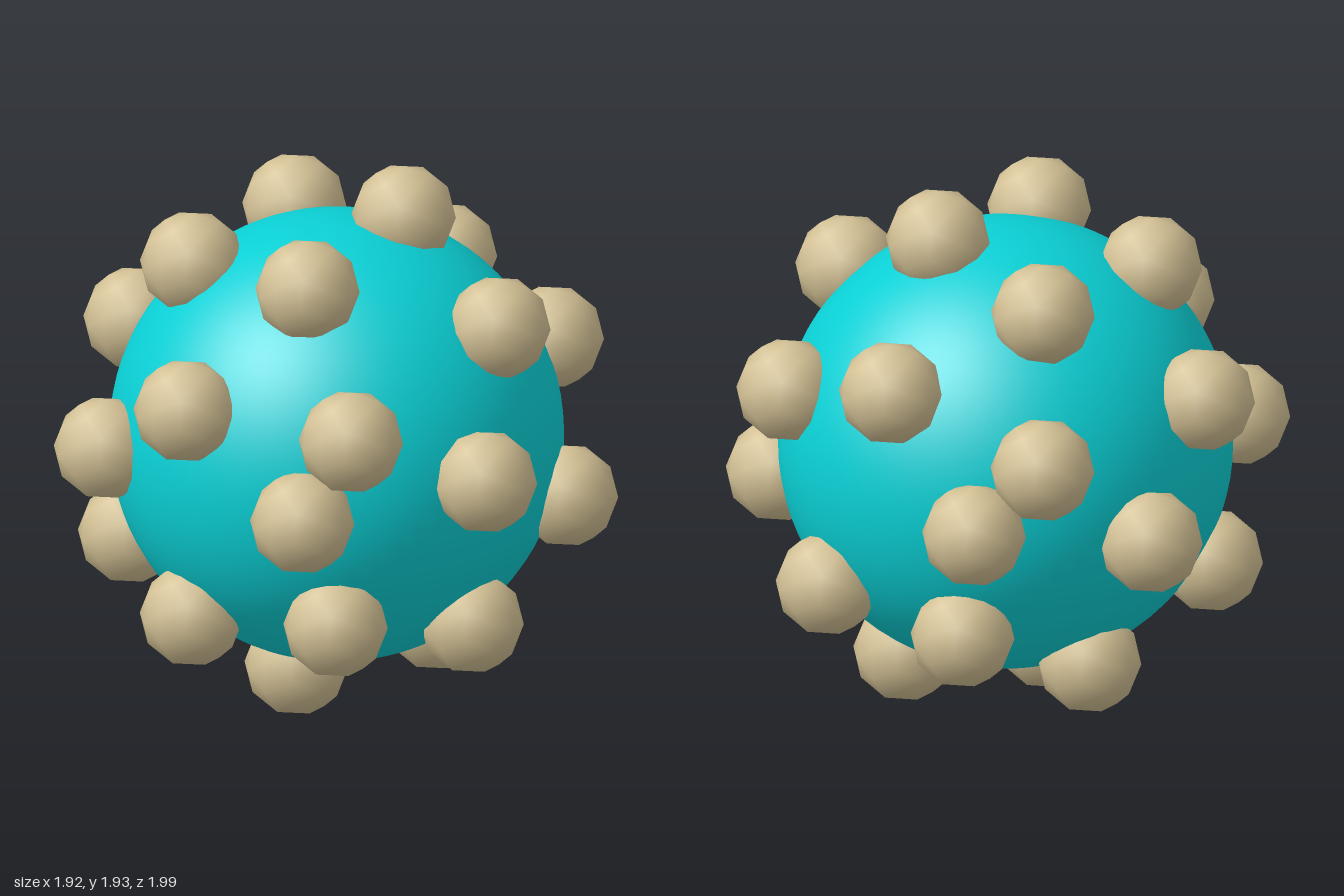
import * as THREE from 'three';

const CENTRE_Y = 0.98;      // height of the ball's centre
const BALL_RADIUS = 0.78;
const BUMP_RADIUS = 0.18;
const BUMP_DISTANCE = 0.815; // bump centres, measured from the ball's centre

// Directions of the bumps from the ball's centre
const BUMP_DIRECTIONS = [
  // upper bumps
  [0.22, 0.78, -0.1], [-0.05, 0.7, 0.42], [-0.2, 0.68, -0.43], [-0.49, 0.65, 0.09],
  [0.58, 0.51, 0.23], [0.3, 0.43, -0.63], [-0.45, 0.31, 0.61], [-0.74, 0.31, -0.235],
  [0.14, 0.28, 0.75], [0.7, 0.27, -0.3], [-0.25, 0.23, -0.755],
  // middle bumps
  [0.58, 0.08, 0.565], [-0.77, 0.03, 0.295], [-0.02, 0, 0.815], [-0.02, 0, -0.815],
  [-0.6, -0.1, -0.56], [0.775, -0.17, 0.03],
  // lower bumps
  [0.53, -0.35, -0.49], [-0.72, -0.4, 0], [0.08, -0.43, 0.69], [0.04, -0.435, -0.685],
  [-0.44, -0.5, 0.46], [0.51, -0.525, 0.36], [-0.35, -0.65, -0.36],
  [0.32, -0.725, -0.16], [-0.12, -0.8, 0.16],
];

export function createModel() {
  const turquoise = new THREE.MeshStandardMaterial({ color: 0x0acfd4 });
  turquoise.name = 'turquoise';
  const sand = new THREE.MeshStandardMaterial({ color: 0xd2c094 });
  sand.name = 'sand';

  const model = new THREE.Group();
  model.name = 'studdedBall';

  // Smooth ball
  const ball = new THREE.Mesh(new THREE.SphereGeometry(BALL_RADIUS, 64, 40), turquoise);
  ball.name = 'ball';
  ball.position.y = CENTRE_Y;
  model.add(ball);

  // Coarse round bumps, half sunk into the ball
  const bumps = new THREE.Group();
  bumps.name = 'bumps';
  bumps.position.y = CENTRE_Y;
  const bumpGeometry = new THREE.IcosahedronGeometry(BUMP_RADIUS, 1);
  BUMP_DIRECTIONS.forEach((direction, i) => {
    const bump = new THREE.Mesh(bumpGeometry, sand);
    bump.name = `bump${i + 1}`;
    bump.position.set(...direction).setLength(BUMP_DISTANCE);
    bumps.add(bump);
  });
  model.add(bumps);

  return model;
}
